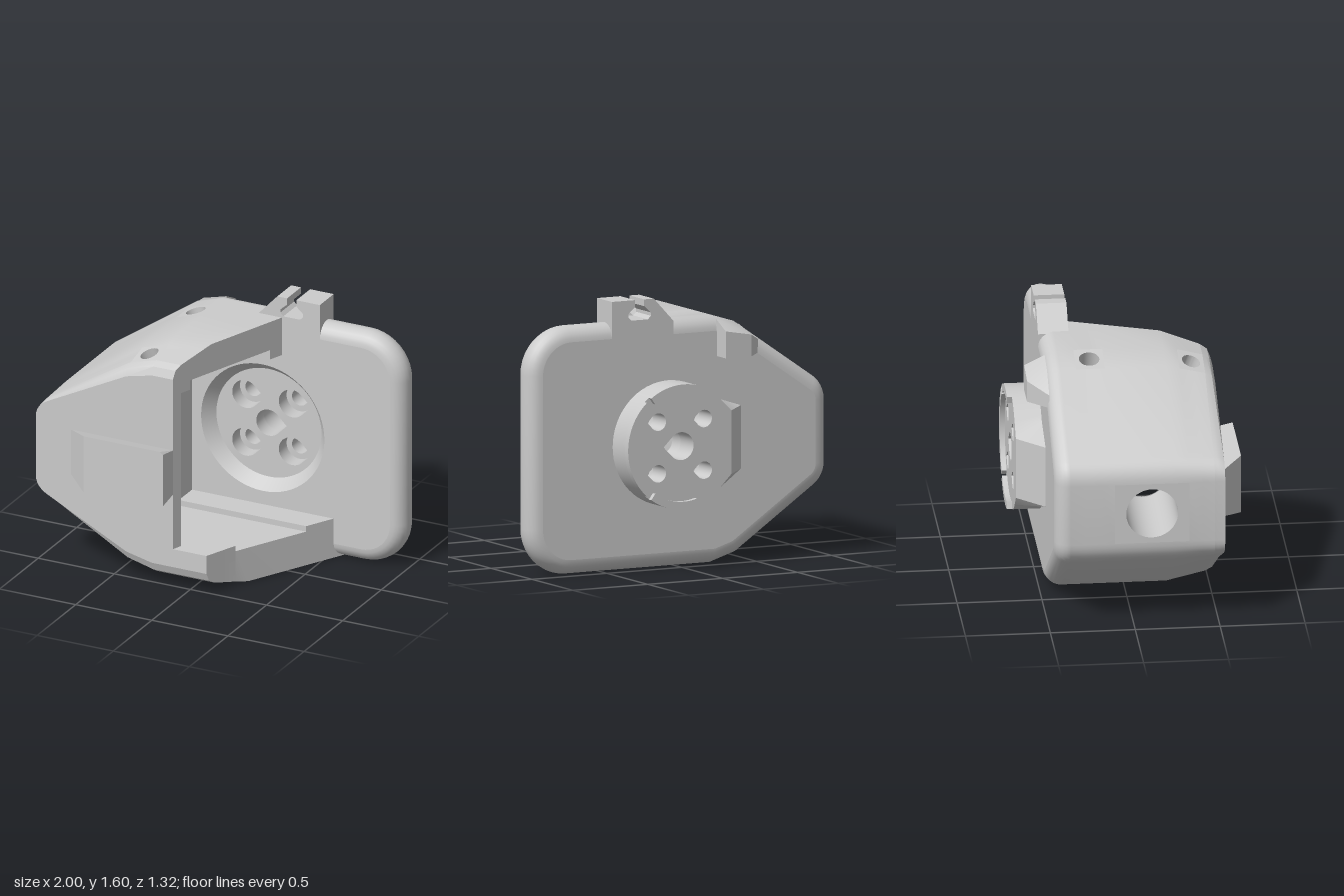
import * as THREE from 'three';
import { toCreasedNormals } from 'three/addons/utils/BufferGeometryUtils.js';
import { ConvexGeometry } from 'three/addons/geometries/ConvexGeometry.js';

const MID = 0.735, CX = 0.075, CY = 0.74;
const material = new THREE.MeshStandardMaterial({ color: 0xcccccc, side: THREE.DoubleSide });
const V = (x, y, z) => new THREE.Vector3(x, y, z);

function add(parent, name, geometry) {
  const g = toCreasedNormals(geometry, 0.6);
  const mesh = new THREE.Mesh(g, material);
  mesh.name = name;
  parent.add(mesh);
  return mesh;
}

// Piecewise linear lookup
function ramp(table, t) {
  for (let i = 1; i < table.length; i++) {
    const [a, va] = table[i - 1], [b, vb] = table[i];
    if (t <= b || i === table.length - 1) return va + (vb - va) * (t - a) / (b - a);
  }
}

function fromTriangles(points) {
  return new THREE.BufferGeometry().setFromPoints(points);
}

// Skin between closed rings of equal length; skip(j, i) leaves an opening
function loft(rings, skip = () => false) {
  const out = [];
  for (let i = 0; i + 1 < rings.length; i++) {
    const a = rings[i], b = rings[i + 1], n = a.length;
    for (let j = 0; j < n; j++) {
      if (skip(j, i)) continue;
      const k = (j + 1) % n;
      out.push(a[j], a[k], b[k], a[j], b[k], b[j]);
    }
  }
  return fromTriangles(out);
}

// Outline with filleted corners: x, y, radius, segments (counter-clockwise)
const corners = [
  [1, 0, 0.28, 10], [1, 1.47, 0.28, 10], [-0.33, 1.47, 0.3, 1],
  [-1, 1.01, 0.17, 6], [-1, 0.46, 0.17, 6], [-0.33, 0, 0.3, 1],
];
const outline = corners.map(([x, y, r, n], i) => {
  const p = corners[(i + 5) % 6], q = corners[(i + 1) % 6];
  const a0 = Math.atan2(-(x - p[0]), y - p[1]);
  let turn = Math.atan2(-(q[0] - x), q[1] - y) - a0;
  if (turn < 0) turn += Math.PI * 2;
  const d = r / Math.cos(turn / 2), m = a0 + turn / 2;
  return Array.from({ length: n + 1 }, (_, k) => {
    const a = a0 + turn * k / n, c = Math.cos(a), s = Math.sin(a);
    return { x: x - Math.cos(m) * d + c * r, y: y - Math.sin(m) * d + s * r, nx: c, ny: s };
  });
});
const insetRing = (d, z) => outline.flat().map(p => V(p.x - p.nx * d, p.y - p.ny * d, z));

const circle = (r, n = 64) => Array.from({ length: n }, (_, i) => {
  const a = i / n * Math.PI * 2;
  return new THREE.Vector2(CX + r * Math.cos(a), CY + r * Math.sin(a));
});

// Round hole with a pointed end towards +x
function teardrop(x, y, r) {
  const pts = [new THREE.Vector2(x + r * 1.41, y)];
  for (let i = 0; i <= 24; i++) {
    const a = Math.PI / 4 + i / 24 * Math.PI * 1.5;
    pts.push(new THREE.Vector2(x + r * Math.cos(a), y + r * Math.sin(a)));
  }
  return new THREE.Path(pts);
}
function socketHoles(r) {
  const holes = [teardrop(CX, CY, 0.083)];
  for (const sx of [-1, 1]) for (const sy of [-1, 1])
    holes.push(teardrop(CX + sx * 0.153, CY + sy * 0.153, r));
  return holes;
}
function slab(shape, z0, z1) {
  return new THREE.ExtrudeGeometry(shape, { depth: z1 - z0, bevelEnabled: false, curveSegments: 24 }).translate(0, 0, z0);
}
function face(points, z, back, hole) {
  const shape = new THREE.Shape(points.map(p => new THREE.Vector2(p.x, p.y)));
  if (hole) shape.holes.push(new THREE.Path(hole));
  const g = new THREE.ShapeGeometry(shape).translate(0, 0, z).toNonIndexed();
  if (back) {
    const p = g.attributes.position;
    for (let i = 0; i < p.count; i += 3) {
      const b = V().fromBufferAttribute(p, i + 1), c = V().fromBufferAttribute(p, i + 2);
      p.setXYZ(i + 1, c.x, c.y, c.z);
      p.setXYZ(i + 2, b.x, b.y, b.z);
    }
  }
  return g;
}

// Four-cornered wall panel with a round bore running inwards
function boredPanel(parent, name, [a, b, c, d], r, depth) {
  const u = b.clone().sub(a), v = d.clone().sub(a);
  const inward = u.clone().cross(v).normalize().multiplyScalar(-depth);
  const hole = Array.from({ length: 40 }, (_, i) => {
    const t = -i / 40 * Math.PI * 2;
    return new THREE.Vector2(0.5 + r * Math.cos(t) / u.length(), 0.5 + r * Math.sin(t) / v.length());
  });
  const place = p => a.clone().lerp(b, p.x).lerp(d.clone().lerp(c, p.x), p.y);
  const shape = new THREE.Shape([[0, 0], [1, 0], [1, 1], [0, 1]].map(p => new THREE.Vector2(...p)));
  shape.holes.push(new THREE.Path(hole));
  const g = new THREE.ShapeGeometry(shape).toNonIndexed(), pos = g.attributes.position;
  for (let i = 0; i < pos.count; i++) {
    const p = place(V(pos.getX(i), pos.getY(i), 0));
    pos.setXYZ(i, p.x, p.y, p.z);
  }
  add(parent, name + 'Panel', g);
  if (!depth) return;
  const rim = hole.map(place);
  add(parent, name + 'Bore', loft([rim.map(p => p.clone().add(inward)), rim]));
}

// Housing section at depth z; the roof and floor end on slanted lines
const roofEnd = z => ramp([[-0.29, 0.2], [0.53, -0.1]], z);
const floorEnd = z => ramp([[-0.29, 0.54], [0.31, 0.21], [0.53, 0.12]], z);
const taper = z => z <= 0.24 ? 1 : ramp([[0.24, 1], [0.47, 0.883], [0.51, 0.835], [0.53, 0.738]], z);
function outerPath(z) {
  const pts = [V(roofEnd(z), 1.47, z), ...outline.slice(2).flat().map(p => V(p.x, p.y, z)),
    V(-0.12, 0, z), V(floorEnd(z), 0, z)];
  for (const p of pts) {
    const d = p.y - MID, over = Math.abs(d) - 0.22;
    if (over > 0) p.y = MID + Math.sign(d) * (0.22 + over * taper(z));
  }
  return pts;
}
const hollowRing = (z, fy, ry) => [...outerPath(z), V(floorEnd(z), fy, z), V(-0.39, fy, z),
  V(-0.39, 0.56, z), V(-0.39, 0.92, z), V(-0.39, ry, z), V(roofEnd(z), ry, z)];
const wallRing = z => [...outerPath(z), V(floorEnd(z), 0.25, z), V(roofEnd(z), 0.25, z)];

function buildHousing() {
  const group = new THREE.Group();
  group.name = 'housing';
  // depth, floor height, roof height; repeated depths form the slot steps
  const steps = [[-0.38, 0.25, 1.23], [-0.29, 0.25, 1.23], [-0.2, 0.25, 1.23], [-0.2, 0.25, 1.29],
    [-0.12, 0.25, 1.29], [-0.12, 0.215, 1.29], [0.24, 0.215, 1.29], [0.32, 0.215, 1.29],
    [0.32, 0.25, 1.29], [0.4, 0.25, 1.29], [0.4, 0.25, 1.23], [0.47, 0.25, 1.23]];
  // strip index, depth range, radius, bore length
  const bores = [
    ['sideOpening', 9, -0.12, 0.32, 0.153, 0.61], ['innerOpening', 23, -0.12, 0.32, 0.153, 0],
    ['roofScrewBack', 1, -0.29, -0.12, 0.06, 0.19], ['roofScrewFront', 1, 0.32, 0.47, 0.055, 0.19],
    ['floorScrewBack', 18, -0.29, -0.12, 0.05, 0.2], ['floorScrewFront', 18, 0.32, 0.47, 0.05, 0.18],
  ];
  const skip = (j, i) => bores.some(([, s, z0, z1]) => j === s && steps[i][0] >= z0 && steps[i + 1][0] <= z1);
  add(group, 'shell', loft(steps.map(s => hollowRing(...s)), skip));
  for (const [name, j, z0, z1, r, depth] of bores) {
    const a = hollowRing(z0, 0.25, 1.23), b = hollowRing(z1, 0.25, 1.23);
    boredPanel(group, name, [a[j], a[j + 1], b[j + 1], b[j]], r, depth);
  }
  add(group, 'frontWallEdge', loft([0.47, 0.49, 0.51, 0.53].map(wallRing)));
  add(group, 'frontWall', face(wallRing(0.53), 0.53, false));
  add(group, 'frontWallInside', face(wallRing(0.47), 0.47, true));
  return group;
}

function buildPlate() {
  const group = new THREE.Group();
  group.name = 'backPlate';
  const rings = Array.from({ length: 13 }, (_, i) => {
    const t = (i / 12 - 0.5) * Math.PI;
    return insetRing(0.09 * (1 - Math.cos(t)), -0.38 + 0.09 * Math.sin(t));
  });
  add(group, 'roundedRim', loft(rings));
  add(group, 'plateFront', face(rings[12], -0.29, false, circle(0.405)));
  add(group, 'plateBack', face(rings[0], -0.47, true, circle(0.35)));
  // Socket: tapered recess, drilled disc, boss and locking rim behind
  const ring = (r, z) => circle(r).reverse().map(p => V(p.x, p.y, z));
  add(group, 'socketTaper', loft([ring(0.345, -0.37), ring(0.405, -0.29)]));
  const disc = new THREE.Shape(circle(0.352));
  disc.holes.push(...socketHoles(0.088));
  add(group, 'socketDisc', slab(disc, -0.47, -0.37));

  const boss = new THREE.Shape();
  boss.absarc(CX, CY, 0.37, -Math.PI * 0.75, Math.PI * 0.75, false);
  boss.lineTo(-0.26, CY + 0.188);
  boss.lineTo(-0.26, CY - 0.188);
  boss.holes.push(...socketHoles(0.052));
  const bossGeometry = slab(boss, -0.63, -0.47), p = bossGeometry.attributes.position;
  for (let i = 0; i < p.count; i++) // sloped foot
    if (p.getX(i) < -0.25 && p.getZ(i) > -0.5) p.setX(i, -0.41);
  add(group, 'socketBoss', bossGeometry);
  for (const [a0, a1] of [[-1.85, -0.95], [-0.85, 0.85], [0.95, 1.85]]) {
    const arc = new THREE.Shape();
    arc.absarc(CX, CY, 0.37, a0, a1, false);
    arc.absarc(CX, CY, 0.325, a1, a0, true);
    add(group, 'lockingRim', slab(arc, -0.66, -0.62));
  }
  return group;
}

export function createModel() {
  const model = new THREE.Group();
  model.name = 'mountedHousing';
  model.add(buildPlate(), buildHousing());

  // Clip on the top edge
  const clip = [[0.04, 1.46], [0.17, 1.6], [0.235, 1.6], [0.235, 1.56], [0.19, 1.52], [0.19, 1.5],
    [0.21, 1.48], [0.32, 1.48], [0.34, 1.5], [0.34, 1.52], [0.295, 1.56], [0.295, 1.6],
    [0.45, 1.6], [0.45, 1.38], [0.04, 1.38]];
  add(model, 'topClip', slab(new THREE.Shape(clip.map(q => new THREE.Vector2(...q))), -0.47, -0.29));

  // Stop block on the back
  add(model, 'backStop', new ConvexGeometry([
    V(-0.53, 1.23, -0.46), V(-0.25, 1.23, -0.46), V(-0.25, 1.45, -0.46), V(-0.4, 1.41, -0.46),
    V(-0.53, 1.31, -0.46), V(-0.42, 1.23, -0.58), V(-0.25, 1.23, -0.58), V(-0.25, 1.39, -0.58), V(-0.42, 1.36, -0.58),
  ]));

  // Dovetail rail on the front, wider towards its face
  const rail = [];
  for (const s of [-1, 1]) rail.push(V(-0.78, 0.74 + s * 0.14, 0.52), V(-0.1, 0.74 + s * 0.14, 0.52),
    V(-0.62, 0.74 + s * 0.18, 0.66), V(-0.12, 0.74 + s * 0.18, 0.66), V(-0.1, 0.74 + s * 0.165, 0.66));
  add(model, 'frontRail', new ConvexGeometry(rail));
  return model;
}
